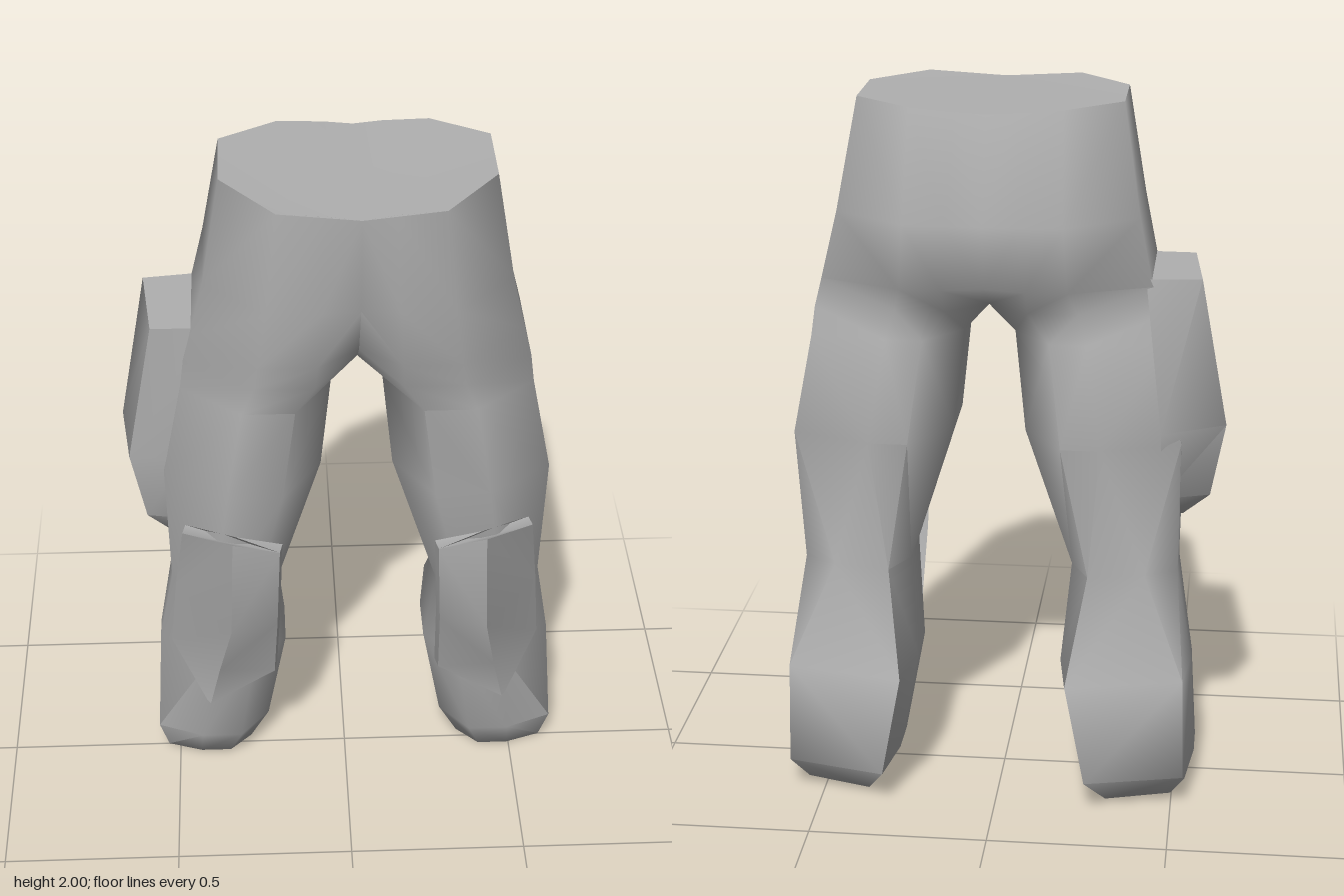
import * as THREE from 'three';
import { toCreasedNormals } from 'three/addons/utils/BufferGeometryUtils.js';

const MID = 0.03; // the trousers sit slightly off centre because of the pouch

// Skins rings of [x, y, z] (top to bottom) into triangles and caps both ends.
// keepWall(k) says whether the closing strip (last point to first) is built.
function loft(rings, flip = false, keepWall = () => true) {
  const out = [];
  const tri = (a, b, c) => out.push(...a, ...(flip ? c : b), ...(flip ? b : c));
  const n = rings[0].length;
  for (let k = 0; k < rings.length - 1; k++) {
    for (let i = 0; i < n; i++) {
      if (i === n - 1 && !keepWall(k)) continue;
      const j = (i + 1) % n, a = rings[k], b = rings[k + 1];
      tri(a[i], b[i], b[j]);
      tri(a[i], b[j], a[j]);
    }
  }
  const top = rings[0], bottom = rings[rings.length - 1];
  for (let i = 1; i < n - 1; i++) {
    tri(top[0], top[i], top[i + 1]);
    tri(bottom[0], bottom[i + 1], bottom[i]);
  }
  return out;
}

function toMesh(name, positions, material, crease) {
  const geo = new THREE.BufferGeometry();
  geo.setAttribute('position', new THREE.Float32BufferAttribute(positions, 3));
  const mesh = new THREE.Mesh(toCreasedNormals(geo, crease), material);
  mesh.name = name;
  return mesh;
}

// Places half-model rings on one side of the midline
const place = (rings, side) => rings.map(r => r.map(([x, y, z]) => [MID + side * x, y, z]));

// Eight-sided section from its extents: inner and outer x, front and back z,
// z of the outer and inner side corners, and how far the back spreads outward
function section([y, xi, xo, front, back, outF, outB, inF, inB, spread]) {
  const at = t => xi + (xo - xi) * t;
  return [
    [xi, y, inF], [at(0.25), y, front], [at(0.6), y, front], [xo, y, outF],
    [xo, y, outB], [at(spread), y, back + (spread - 0.5) * 0.16],
    [at(0.45 - 0.4 * spread), y, back], [xi, y, inB],
  ];
}

export function createModel() {
  const group = new THREE.Group();
  group.name = 'trousers';
  const cloth = new THREE.MeshStandardMaterial({ color: 0xb0b0b0 });
  cloth.name = 'greyCloth';

  // Half of the trousers: joined at the midline down to the crotch, then a leg
  const pelvis = [
    [2.00, 0, .36, .325, -.21, .14, -.09, .34, -.205, .57],
    [1.70, 0, .41, .32, -.3, .15, -.16, .31, -.3, .52],
    [1.52, 0, .45, .29, -.285, .11, -.19, .2, -.26, .5],
    [1.44, 0, .47, .265, -.21, .12, -.19, .1, -.12, .53],
  ];
  const leg = [
    [1.36, .07, .48, .26, -.225, .12, -.2, .08, -.1, .5],
    [1.08, .1, .535, .25, -.28, .12, -.2, .08, -.12, .5],
    [0.67, .23, .53, .2, -.185, .04, -.1, .08, -.08, .7],
    [0.40, .205, .575, .095, -.34, -.03, -.1, 0, -.15, .95],
    [0.10, .26, .59, .085, -.33, .03, -.08, -.02, -.15, .92],
    [0, .315, .565, .035, -.22, 0, -.07, -.03, -.12, .85],
  ];
  const half = [...pelvis, ...leg].map(section);
  // Slight dip of the waistband towards the middle
  for (const p of half[0]) p[1] -= Math.max(0, 0.02 - p[0] * 0.07);
  const body = [1, -1].flatMap(s => loft(place(half, s), s < 0, k => k >= pelvis.length - 1));
  group.add(toMesh('trouserBody', body, cloth, 1.15));

  // Knee pads: inner, ridge and outer column of the front, given a thickness
  const padFront = [
    [[.22, .91, .27], [.35, .96, .3], [.49, .92, .18]],
    [[.23, .65, .25], [.36, .65, .29], [.52, .66, .08]],
    [[.24, .38, .13], [.4, .41, .16], [.54, .42, .02]],
    [[.42, .275, .135], [.43, .27, .14], [.44, .275, .13]],
  ];
  const pad = padFront.map(row => [
    ...row,
    ...[...row].reverse().map(([x, y, z]) => [x - 0.008, y, z - 0.04]),
  ]);
  for (const s of [1, -1]) {
    group.add(toMesh(s > 0 ? 'leftKneePad' : 'rightKneePad', loft(place(pad, s), s < 0), cloth, 0.85));
  }

  // Pouch on the outside of the right thigh
  const pouch = [
    [[-.38, 1.54, .11], [-.525, 1.54, .105], [-.55, 1.54, -.17], [-.4, 1.54, -.19]],
    [[-.45, 1.12, .11], [-.6, 1.12, .09], [-.625, 1.12, -.14], [-.45, 1.12, -.24]],
    [[-.45, .9, .08], [-.56, .9, .06], [-.585, .9, -.1], [-.45, .9, -.15]],
    [[-.45, .83, .04], [-.5, .83, .03], [-.51, .83, -.07], [-.45, .83, -.08]],
  ];
  group.add(toMesh('thighPouch', loft(pouch, true), cloth, 1.2));

  return group;
}
